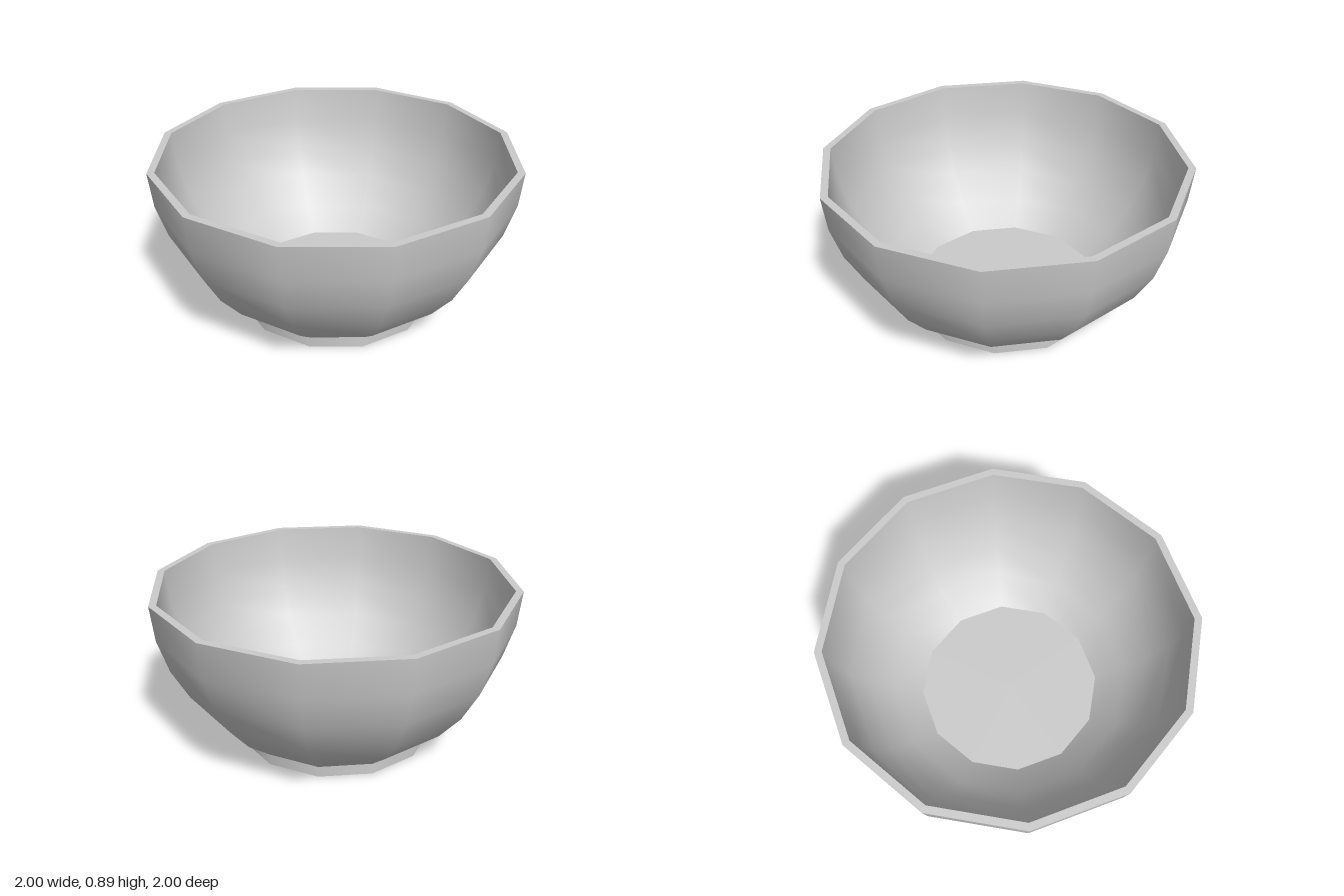
import * as THREE from 'three';

const SIDES = 12;
const RIM_Y = 0.893;      // height of the rim, also the centre of the round profile
const OUTER_R = 1;
const INNER_R = 0.96;
const STEP = Math.PI / 16;
const FOOT_R = OUTER_R * Math.cos(5 * STEP);
const FOOT_Y = RIM_Y - OUTER_R * Math.sin(5 * STEP);
const FLOOR_R = 0.523;
const FLOOR_Y = RIM_Y - Math.sqrt(INNER_R ** 2 - FLOOR_R ** 2);

const material = new THREE.MeshStandardMaterial({ color: 0xcccccc });

// Revolve a profile of [radius, height] pairs; each surface is smooth on its own
function surface(name, profile) {
  const points = profile.map(([r, y]) => new THREE.Vector2(r, y));
  const mesh = new THREE.Mesh(new THREE.LatheGeometry(points, SIDES), material);
  mesh.name = name;
  return mesh;
}

// Point on a round wall, a number of steps below the rim
const wallPoint = (radius, i) => [radius * Math.cos(i * STEP), RIM_Y - radius * Math.sin(i * STEP)];

export function createModel() {
  const model = new THREE.Group();
  model.name = 'bowl';

  // Curved walls: the outside runs up to the rim, the inside runs down to the floor
  const outer = [5, 4, 3, 2, 1, 0].map((i) => wallPoint(OUTER_R, i));
  const inner = [0, 1, 2, 3, 4].map((i) => wallPoint(INNER_R, i));
  inner.push([FLOOR_R, FLOOR_Y]);

  const shell = new THREE.Group();
  shell.name = 'shell';
  shell.add(
    surface('outerWall', outer),
    surface('rim', [[OUTER_R, RIM_Y], [INNER_R, RIM_Y]]),
    surface('innerWall', inner),
    surface('floor', [[FLOOR_R, FLOOR_Y], [0, FLOOR_Y]])
  );

  // Short foot closed underneath
  const foot = new THREE.Group();
  foot.name = 'foot';
  foot.add(
    surface('footSide', [[FOOT_R, 0], [FOOT_R, FOOT_Y]]),
    surface('footBase', [[0, 0], [FOOT_R, 0]])
  );

  model.add(shell, foot);
  return model;
}
